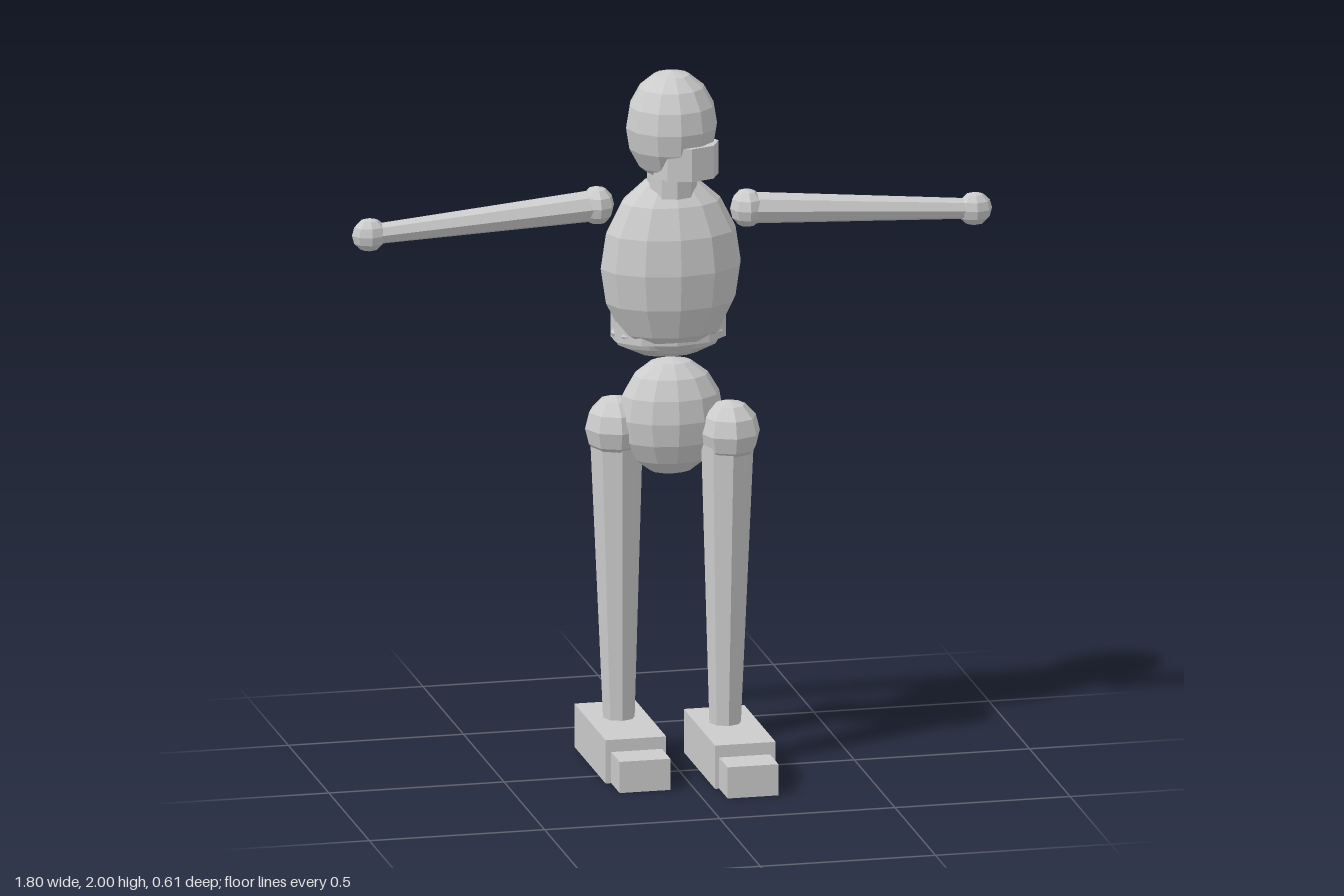
import * as THREE from 'three';

const material = new THREE.MeshStandardMaterial({ color: 0xcccccc, flatShading: true });

export function createModel() {
  const model = new THREE.Group();

  function add(name, geometry, x, y, z, parent = model) {
    const mesh = new THREE.Mesh(geometry, material);
    mesh.name = name;
    mesh.position.set(x, y, z);
    parent.add(mesh);
    return mesh;
  }

  // Faceted ellipsoid from its centre and three radii
  function ellipsoid(name, center, radii, sides = 12, rows = 8, parent = model) {
    const geometry = new THREE.SphereGeometry(1, sides, rows).scale(...radii);
    return add(name, geometry, ...center, parent);
  }

  // Upright elliptical band
  function band(name, center, rx, height, rz, sides) {
    const geometry = new THREE.CylinderGeometry(1, 1, height, sides).scale(rx, 1, rz);
    return add(name, geometry, ...center);
  }

  // Tapered limb running between two points
  function limb(name, from, to, r0, r1, parent) {
    const a = new THREE.Vector3(...from), b = new THREE.Vector3(...to);
    const dir = b.clone().sub(a);
    const mid = a.clone().add(b).multiplyScalar(0.5);
    const mesh = add(name, new THREE.CylinderGeometry(r1, r0, dir.length(), 8, 2), mid.x, mid.y, mid.z, parent);
    mesh.quaternion.setFromUnitVectors(new THREE.Vector3(0, 1, 0), dir.normalize());
    return mesh;
  }

  // Head and trunk
  ellipsoid('head', [0, 1.84, -0.095], [0.13, 0.16, 0.125]);
  band('jaw', [0.03, 1.755, -0.045], 0.093, 0.095, 0.075, 8);
  band('neck', [0, 1.685, -0.09], 0.07, 0.08, 0.07, 10);
  ellipsoid('torso', [0, 1.435, -0.105], [0.2, 0.265, 0.135]);
  ellipsoid('abdomen', [0, 1.24, -0.135], [0.165, 0.075, 0.105], 12, 6);
  band('belt', [0, 1.26, -0.135], 0.165, 0.08, 0.112, 10);
  ellipsoid('pelvis', [0, 1.0, -0.105], [0.15, 0.17, 0.11]);

  // Limbs on both sides, the left side stepping ahead of the right
  for (const [side, s, z] of [['left', 1, -0.03], ['right', -1, -0.148]]) {
    const arm = new THREE.Group();
    arm.name = side + 'Arm';
    model.add(arm);
    ellipsoid('shoulder', [0.2 * s, 1.607, z], [0.048, 0.055, 0.055], 8, 6, arm);
    limb('armShaft', [0.2 * s, 1.607, z], [0.82 * s, 1.565, z], 0.046, 0.03, arm);
    ellipsoid('hand', [0.85 * s, 1.563, z], [0.05, 0.048, 0.04], 8, 6, arm);

    const leg = new THREE.Group();
    leg.name = side + 'Leg';
    model.add(leg);
    ellipsoid('hip', [0.15 * s, 0.965, z + 0.005], [0.086, 0.092, 0.09], 8, 6, leg);
    limb('legShaft', [0.145 * s, 0.96, z], [0.138 * s, 0.12, z], 0.076, 0.045, leg);
    const step = s > 0 ? 0 : -0.122;
    add('foot', new THREE.BoxGeometry(0.173, 0.125, 0.385), 0.142 * s, 0.0625, 0.009 + step, leg);
    add('toe', new THREE.BoxGeometry(0.145, 0.09, 0.115), 0.14 * s, 0.045, 0.248 + step, leg);
  }

  return model;
}
